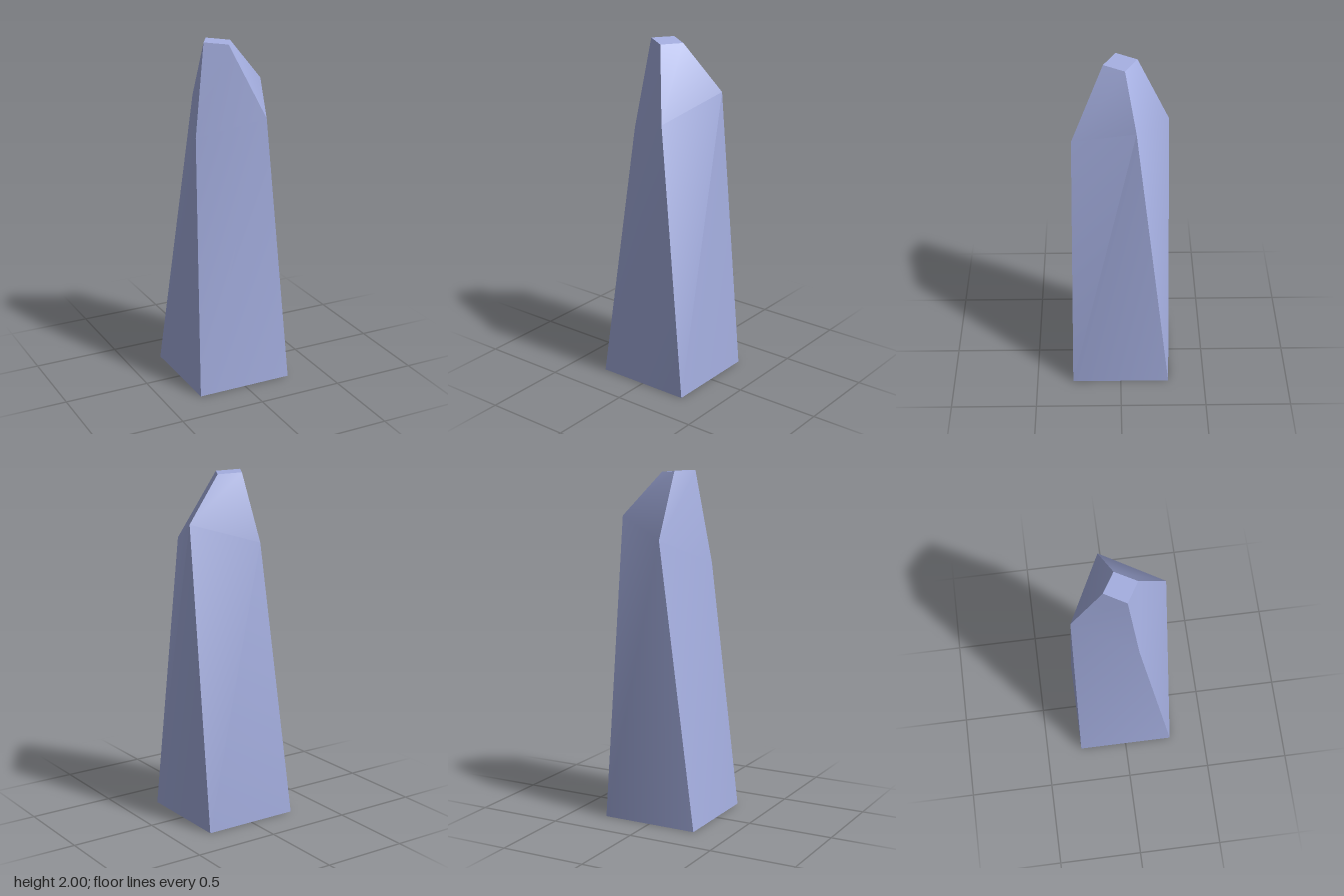
import * as THREE from 'three';
import { toCreasedNormals } from 'three/addons/utils/BufferGeometryUtils.js';

export function createModel() {
  const group = new THREE.Group();
  const h = 0.286;

  // Four-cornered rings, counter-clockwise seen from above
  const base = [[-h, 0, h], [h, 0, h], [h, 0, -h], [-h, 0, -h]];
  const shoulder = [[-0.208, 1.48, 0.079], [0.133, 1.6, 0.268], [0.28, 1.735, -0.083], [-0.06, 1.63, -0.271]];
  const tip = [[-0.13, 2, 0.023], [-0.012, 1.99, 0.092], [0.056, 1.987, -0.025], [-0.06, 1.997, -0.094]];

  const positions = [];
  const quad = (a, b, c, d) => positions.push(...[a, b, c, a, c, d].flat());

  // Twisted sides: tapering shaft, then the steeper chipped top
  for (let i = 0; i < 4; i++) {
    const j = (i + 1) % 4;
    quad(base[i], base[j], shoulder[j], shoulder[i]);
    quad(shoulder[i], shoulder[j], tip[j], tip[i]);
  }
  // Top facet and underside
  quad(...tip);
  quad(...[...base].reverse());

  const geometry = new THREE.BufferGeometry();
  geometry.setAttribute('position', new THREE.Float32BufferAttribute(positions, 3));

  const stone = new THREE.Mesh(
    toCreasedNormals(geometry, THREE.MathUtils.degToRad(35)),
    new THREE.MeshStandardMaterial({ color: 0xa6b0e2 })
  );
  stone.name = 'standingStone';
  group.add(stone);
  return group;
}
